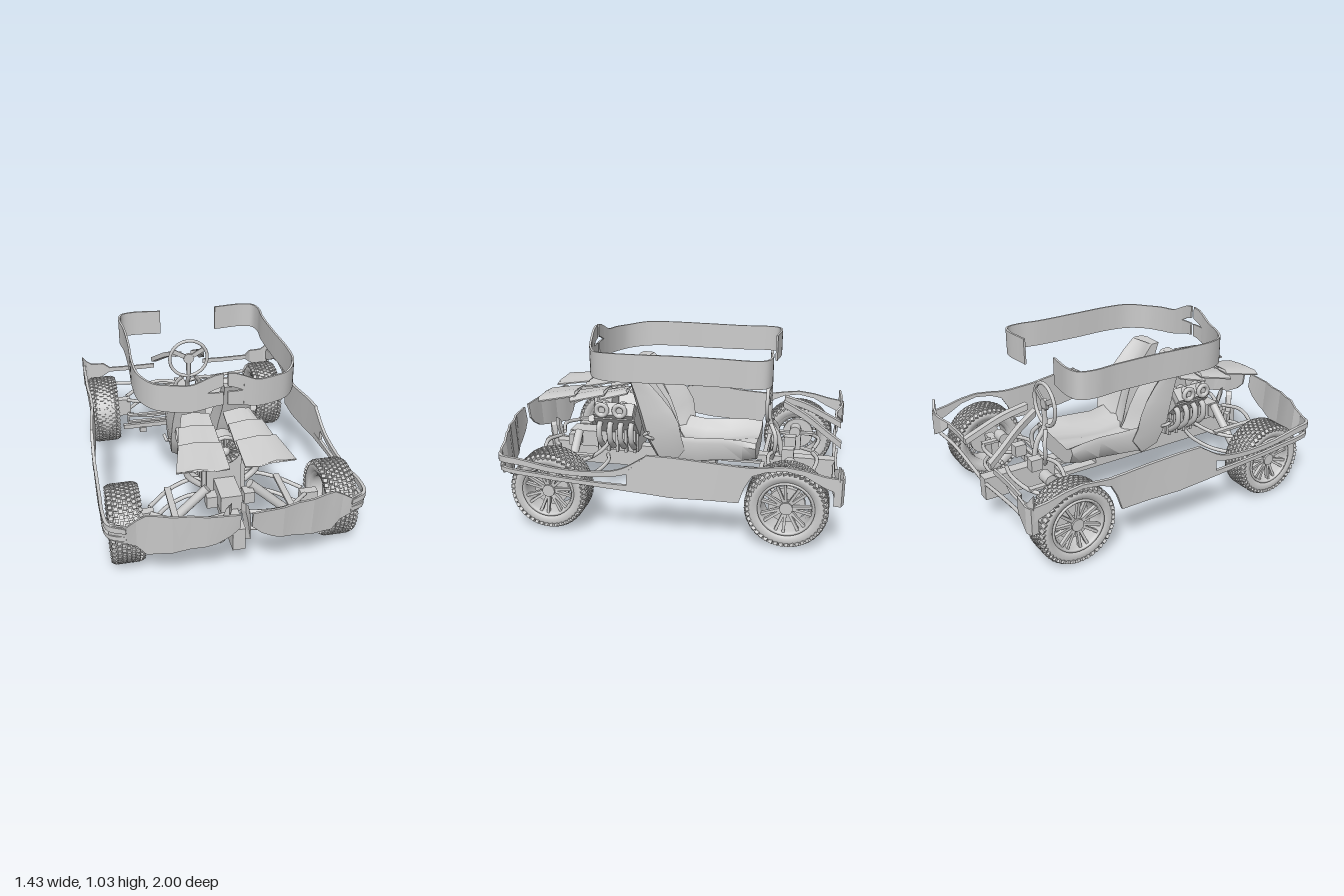
import * as THREE from 'three';
import { mergeGeometries, toCreasedNormals } from 'three/addons/utils/BufferGeometryUtils.js';

const V = (x, y, z) => new THREE.Vector3(x, y, z);
const mat = new THREE.MeshStandardMaterial({ color: 0xcccccc, side: THREE.DoubleSide });

function add(parent, name, geo, x = 0, y = 0, z = 0) {
  const m = new THREE.Mesh(geo, mat);
  m.name = name;
  m.position.set(x, y, z);
  parent.add(m);
  return m;
}
const box = (p, name, w, h, d, x, y, z) => add(p, name, new THREE.BoxGeometry(w, h, d), x, y, z);

// Skin a row of closed cross-sections, with end caps
function loft(rings, crease = 0.7) {
  const n = rings[0].length, pos = [], idx = [];
  rings.flat().forEach(v => pos.push(v.x, v.y, v.z));
  for (let i = 0; i < rings.length - 1; i++) for (let j = 0; j < n; j++) {
    const a = i * n + j, b = i * n + (j + 1) % n;
    idx.push(a, b, a + n, b, b + n, a + n);
  }
  const last = (rings.length - 1) * n;
  for (let j = 1; j < n - 1; j++) idx.push(0, j + 1, j, last, last + j, last + j + 1);
  const g = new THREE.BufferGeometry();
  g.setAttribute('position', new THREE.Float32BufferAttribute(pos, 3));
  g.setIndex(idx);
  return toCreasedNormals(g, crease);
}

// Upright strip through points [x, z, bottom, top]; s mirrors it, tuck moves the bottom edge back
function ribbon(p, name, pts, s = 1, smooth = true, t = 0.012, tuck = 0) {
  const path = (k, dz) => {
    const v = pts.map(q => V(q[0] * s, q[k], q[1] - dz));
    return smooth ? new THREE.CatmullRomCurve3(v, false, 'centripetal') : v;
  };
  const lo = path(2, tuck), hi = path(3, 0), n = smooth ? pts.length * 5 : pts.length - 1;
  const at = (c, i) => smooth ? c.getPoint(i / n) : c[i];
  const rings = [];
  for (let i = 0; i <= n; i++) {
    const d = at(lo, Math.min(i + 1, n)).clone().sub(at(lo, Math.max(i - 1, 0)));
    const o = V(d.z, 0, -d.x).normalize().multiplyScalar(t / 2);
    const a = at(lo, i), b = at(hi, i);
    rings.push([a.clone().add(o), b.clone().add(o), b.clone().sub(o), a.clone().sub(o)]);
  }
  return add(p, name, loft(rings, smooth ? 0.6 : 0.2));
}

function tube(p, name, pts, r = 0.012, s = 1) {
  const c = new THREE.CatmullRomCurve3(pts.map(q => V(q[0] * s, q[1], q[2])), false, 'centripetal');
  return add(p, name, new THREE.TubeGeometry(c, pts.length * 6, r, 8));
}

// Off-road wheel: tyre carcass, tread blocks, dished rim with spokes
function wheel(p, name, x, y, z, R, s) {
  const g = new THREE.Group();
  g.name = name;
  const k = R / 0.22;
  const prof = [[.145, -.067], [.155, -.078], [.185, -.086], [.203, -.076], [.21, -.058], [.213, 0],
    [.21, .058], [.203, .076], [.185, .086], [.155, .078], [.145, .067], [.135, 0], [.145, -.067]];
  const turn = geo => geo.rotateZ(-Math.PI / 2);
  add(g, 'tyre', turn(toCreasedNormals(new THREE.LatheGeometry(prof.map(q => new THREE.Vector2(q[0] * k, q[1])), 48), 0.8)));
  const blocks = [], N = 44;
  for (let i = 0; i < N; i++) for (let row = -3; row <= 3; row++) {
    const edge = Math.abs(row) === 3;
    const b = new THREE.BoxGeometry(edge ? .024 : .02, edge ? .024 : .014, .021);
    b.rotateY(row * 0.12);
    if (edge) b.rotateZ(-Math.sign(row) * 0.5);
    b.translate(row * .0245, (edge ? .203 : .213) * k, 0);
    blocks.push(b.rotateX((i + (row % 2 ? .5 : 0)) * Math.PI * 2 / N));
  }
  add(g, 'tread', mergeGeometries(blocks));
  const rim = [[.15, .07], [.148, .082], [.138, .08], [.13, .06], [.125, -.06], [.148, -.07]];
  add(g, 'rim', turn(new THREE.LatheGeometry(rim.map(q => new THREE.Vector2(q[0] * k, q[1] * s)), 40)));
  const spokes = [];
  for (let i = 0; i < 14; i++) {
    const b = new THREE.BoxGeometry(.022, .105 * k, .015);
    b.rotateZ(-s * .12);
    b.translate(.055 * s, .083 * k, 0);
    spokes.push(b.rotateX((i + (i % 2 ? -.15 : .15)) * Math.PI / 7));
  }
  add(g, 'spokes', mergeGeometries(spokes));
  add(g, 'hub', turn(new THREE.CylinderGeometry(.035, .035, .07, 20)), .035 * s);
  add(g, 'brakeDrum', turn(new THREE.CylinderGeometry(.1, .1, .03, 24)), .005 * s);
  g.position.set(x, y, z);
  p.add(g);
}

// Rectangle path in (z, y)
function rect(path, z0, z1, y0, y1) {
  path.moveTo(z0, y0);
  path.lineTo(z1, y0);
  path.lineTo(z1, y1);
  path.lineTo(z0, y1);
  path.closePath();
  return path;
}

export function createModel() {
  const car = new THREE.Group();
  car.name = 'buggy';

  // Spine beam with a slot through it
  const beam = rect(new THREE.Shape(), -.86, .96, .16, .295);
  beam.holes.push(rect(new THREE.Path(), .24, .52, .185, .265));
  add(car, 'spine', new THREE.ExtrudeGeometry(beam, { depth: .07, bevelEnabled: false }).rotateY(Math.PI / 2), -.035);
  box(car, 'slotBar', .02, .016, .25, 0, .235, -.395);

  wheel(car, 'frontWheelLeft', .603, .24, .6, .22, 1);
  wheel(car, 'frontWheelRight', -.585, .24, .6, .22, -1);
  wheel(car, 'rearWheelLeft', .56, .236, -.708, .224, 1);
  wheel(car, 'rearWheelRight', -.572, .236, -.708, .224, -1);

  for (const s of [1, -1]) {
    // Roof band with a raised, slit crest in the middle
    ribbon(car, 'roofBand', [[.1, .497, .845, 1.02], [.18, .485, .825, .985],
      [.28, .455, .82, .98], [.37, .405, .82, .975], [.435, .3, .825, .985], [.45, .15, .83, .988], [.44, -.1, .83, .988],
      [.44, -.35, .83, .985], [.452, -.48, .83, .985], [.43, -.56, .83, .985], [.36, -.585, .83, .985], [.18, -.57, .83, .985]], s);
    ribbon(car, 'crestTop', [[.012, .5, .97, 1.045], [.06, .5, .955, 1.037], [.1, .497, .935, 1.02]], s, false);
    ribbon(car, 'crestBottom', [[.012, .5, .86, .935], [.06, .5, .855, .935], [.1, .497, .845, .935]], s, false);

    // Front bumper panel, faceted
    ribbon(car, 'frontBumper', [[.03, .995, .41, .5], [.08, .99, .36, .5], [.15, .985, .32, .5], [.2, .98, .305, .5],
      [.28, .955, .285, .5], [.37, .945, .265, .5], [.45, .915, .25, .5], [.5, .905, .245, .5], [.55, .895, .3, .47],
      [.6, .9, .33, .44], [.685, .86, .335, .44]], s, false, .012, .012);

    // Side rails running into the side panel and rear wheel arch
    ribbon(car, 'upperRail', [[.6, .9, .4, .43], [.685, .86, .405, .44], [.705, .75, .4, .435], [.705, .55, .37, .4],
      [.705, .35, .365, .395], [.705, .18, .385, .42], [.7, .04, .44, .5]], s, true, .018);
    ribbon(car, 'lowerRail', [[.6, .89, .345, .375], [.685, .85, .35, .375], [.705, .6, .33, .355], [.705, .3, .31, .335],
      [.7, .04, .29, .33]], s, true, .018);
    ribbon(car, 'sidePanel', [[.705, .14, .3, .41], [.7, .03, .29, .51], [.69, -.1, .275, .505], [.67, -.3, .27, .485],
      [.67, -.46, .27, .475], [.67, -.49, .36, .475], [.675, -.53, .43, .475], [.68, -.6, .46, .485], [.68, -.7, .475, .497],
      [.68, -.8, .455, .485], [.68, -.9, .4, .46], [.675, -.975, .37, .45]], s, false, .018);
    ribbon(car, 'rearCorner', [[.675, -.95, .3, .45], [.68, -.985, .3, .45], [.65, -.995, .3, .45], [.54, -.985, .36, .45],
      [.5, -.955, .4, .43], [.34, -.95, .4, .43], [.18, -.955, .4, .43]], s, false, .014);
    tube(car, 'rearLowerRail', [[.66, .31, -.97], [.45, .3, -.95], [.2, .28, -.95], [.03, .26, -.95]], .011, s);
    ribbon(car, 'cornerFin', [[.62, -.985, .43, .45], [.66, -.985, .44, .48], [.685, -.97, .44, .52]], s, false);

    // Struts converging on the spine from the rear corners
    const strut = new THREE.CatmullRomCurve3([V(.175, .45, -.98), V(.15, .5, -.9), V(.1, .58, -.77), V(.05, .635, -.64)]);
    add(car, 'rearStrut', loft(strut.getPoints(14).map(q => [[-.02, -.018], [.02, -.018], [.02, .018], [-.02, .018]]
      .map(([a, b]) => V((q.x + a) * s, q.y + b, q.z)))));
    tube(car, 'steeringFrame', [[.04, .5, -.57], [.08, .44, -.6], [.08, .36, -.6], [.03, .28, -.58]], .013, s);

    // Wishbones, hubs and dampers at both axles
    for (const [z, r, dz, name] of [[.6, .5, .19, 'front'], [-.71, .47, .14, 'rear']]) {
      for (const y of [.2, .31]) for (const e of [1, -1])
        tube(car, name + 'Wishbone', [[.03, y + .02, z + e * dz * .8], [.16, y + .03, z + e * dz],
          [.3, y + .01, z + e * dz * .8], [r - .06, y - .01, z + e * .03]], .012, s);
      box(car, name + 'HubCarrier', .1, .12, .05, (r - .03) * s, .24, z);
      box(car, name + 'CrossLink', .035, .015, dz * 1.6, .32 * s, .325, z);
      box(car, name + 'Mount', .06, .07, .07, .105 * s, .345, z + .03);
    }
    const a = V(.33 * s, .2, .6), b = V(.12 * s, .4, .6);
    const damper = add(car, 'frontDamper', new THREE.CylinderGeometry(.026, .026, a.distanceTo(b), 12));
    damper.position.copy(a).lerp(b, .5);
    damper.quaternion.setFromUnitVectors(V(0, 1, 0), b.sub(a).normalize());
    const can = add(car, 'rearReservoir', new THREE.CylinderGeometry(.034, .034, .085, 16), .3 * s, .35, -.7);
    can.rotation.z = Math.PI / 2;

    // Low open cross frame and feet
    box(car, 'crossBar', .44, .03, .025, .24 * s, .18, -.53);
    for (const y of [.212, .262]) box(car, 'frameRail', .36, .012, .025, .25 * s, y, -.53);
    box(car, 'frameEnd', .012, .06, .025, .425 * s, .237, -.53);
    box(car, 'foot', .045, .035, .05, .33 * s, .152, -.53);

    // Upright straps beside the spine
    ribbon(car, 'noseStrap', [[.07, .75, .15, .28], [.07, .77, .15, .29], [.05, .79, .3, .4], [.035, .8, .37, .42]], s, false, .035);

    // Backrest half with side bolster
    const st = [[.2, .835, .28, .84, .05, .23], [.13, .765, .255, .76, .05, .235], [.055, .685, .235, .68, .05, .235],
      [-.01, .61, .205, .57, .035, .245], [-.05, .535, .17, .43, .02, .25], [-.065, .44, .1, .3, .008, .24], [-.08, .36, 0, .25, .004, .21]];
    add(car, 'backrest', loft(st.map(([fz, fy, bz, by, xi, xo]) => {
      const m = (t, x) => V(x * s, fy + (by - fy) * t, fz + (bz - fz) * t), w = xo - xi;
      return [m(.3, xi), m(.5, xi + w * .3), m(.5, xi + w * .6), m(.12, xi + w * .82), m(0, xo - .008),
        m(.3, xo), m(.85, xo - .01), m(1, xo - w * .3), m(.95, xi)];
    }), 0.9));
    tube(car, 'lever', [[.22, .42, .1], [.26, .44, .12], [.27, .46, .15], [.28, .48, .12]], .01, s);

    // Angled cylinder bank with caps and exhaust pipes
    const bank = new THREE.Group();
    bank.name = 'cylinderBank';
    box(bank, 'bankBlock', .1, .2, .25, 0, -.01, 0);
    box(bank, 'valveCover', .085, .04, .24, 0, .11, 0);
    bank.position.set(.115 * s, .49, .35);
    bank.rotation.z = -s * .75;
    car.add(bank);
    for (let i = 0; i < 4; i++) {
      const z = .25 + i * .065;
      tube(car, 'exhaustPipe', [[.15, .5, z], [.2, .47, z], [.2, .39, z], [.13, .32, z]], .018, s);
    }
    for (const z of [.31, .42]) {
      const cap = add(car, 'intakeRing', new THREE.TorusGeometry(.034, .014, 8, 20), .225 * s, .58, z);
      cap.rotation.y = Math.PI / 2;
      const plug = add(car, 'intake', new THREE.CylinderGeometry(.034, .034, .09, 18), .18 * s, .58, z);
      plug.rotation.z = Math.PI / 2;
    }

    // Overlapping bonnet flaps: [rear z, y, outer x, front z, y, outer x]
    for (const [z0, y0, o0, z1, y1, o1] of [[.29, .69, .2, .45, .655, .24], [.42, .685, .24, .62, .645, .28], [.59, .68, .27, .8, .648, .32]]) {
      const row = (z, y, o, d) => [0, .3, .6, .85, 1].map((t, i) =>
        V((.04 + (o - .04) * t) * s, y + [-.008, -.004, .006, .002, -.008][i] + d, z - [.01, 0, .015, .01, .025][i]));
      add(car, 'bonnetFlap', loft([[z0, y0, o0], [z1, y1, o1]].map(([z, y, o]) =>
        [...row(z, y, o, .004), ...row(z, y, o, -.004).reverse()]), 0.4));
    }
  }

  // Seat tub: concave floor with raised edges
  const tub = [[-.5, .22, .38, .43, .3], [-.42, .215, .37, .44, .28], [-.3, .2, .35, .44, .27], [-.15, .195, .34, .43, .25],
    [-.03, .215, .35, .44, .245], [.08, .23, .37, .42, .27]];
  add(car, 'seatTub', loft(tub.map(([z, w, f, e, b]) => [[-1, e - .03], [-.93, e], [-.75, f + .03], [-.45, f], [-.12, f + .005],
    [0, f + .01], [.12, f + .005], [.45, f], [.75, f + .03], [.93, e], [1, e - .03], [.85, b + .03], [.5, b], [-.5, b], [-.85, b + .03]]
    .map(([x, y]) => V(x * w, y, z))), 0.9));

  // Engine block, crankcase ribs and fan
  box(car, 'engineBlock', .2, .24, .26, 0, .4, .36);
  box(car, 'gearbox', .12, .1, .2, 0, .33, .58);
  for (let i = 0; i < 5; i++) box(car, 'engineRib', .25, .2, .018, 0, .38, .25 + i * .055);
  const fan = new THREE.Group();
  fan.name = 'fan';
  fan.position.set(0, .57, .5);
  add(fan, 'fanRing', new THREE.TorusGeometry(.08, .012, 8, 32));
  add(fan, 'fanDrum', new THREE.CylinderGeometry(.07, .08, .1, 24), 0, 0, -.05).rotation.x = Math.PI / 2;
  add(fan, 'fanHub', new THREE.SphereGeometry(.028, 16, 10), 0, 0, .01);
  for (let i = 0; i < 14; i++) {
    const b = new THREE.BoxGeometry(.018, .06, .006);
    b.rotateY(.6);
    add(fan, 'fanBlade', b.translate(0, .048, .01).rotateZ(i * Math.PI / 7));
  }
  car.add(fan);

  // Steering wheel on a low column
  const steer = new THREE.Group();
  steer.name = 'steeringWheel';
  steer.position.set(0, .64, -.55);
  add(steer, 'steeringRim', new THREE.TorusGeometry(.127, .011, 10, 40));
  add(steer, 'steeringHub', new THREE.CylinderGeometry(.035, .035, .02, 16)).rotation.x = Math.PI / 2;
  for (let i = 0; i < 3; i++)
    add(steer, 'steeringSpoke', new THREE.BoxGeometry(.03, .11, .01).translate(0, .065, 0).rotateZ(Math.PI + i * Math.PI * 2 / 3));
  car.add(steer);
  tube(car, 'steeringColumn', [[0, .62, -.555], [0, .5, -.56], [0, .42, -.61], [0, .29, -.64]], .016);

  return car;
}
